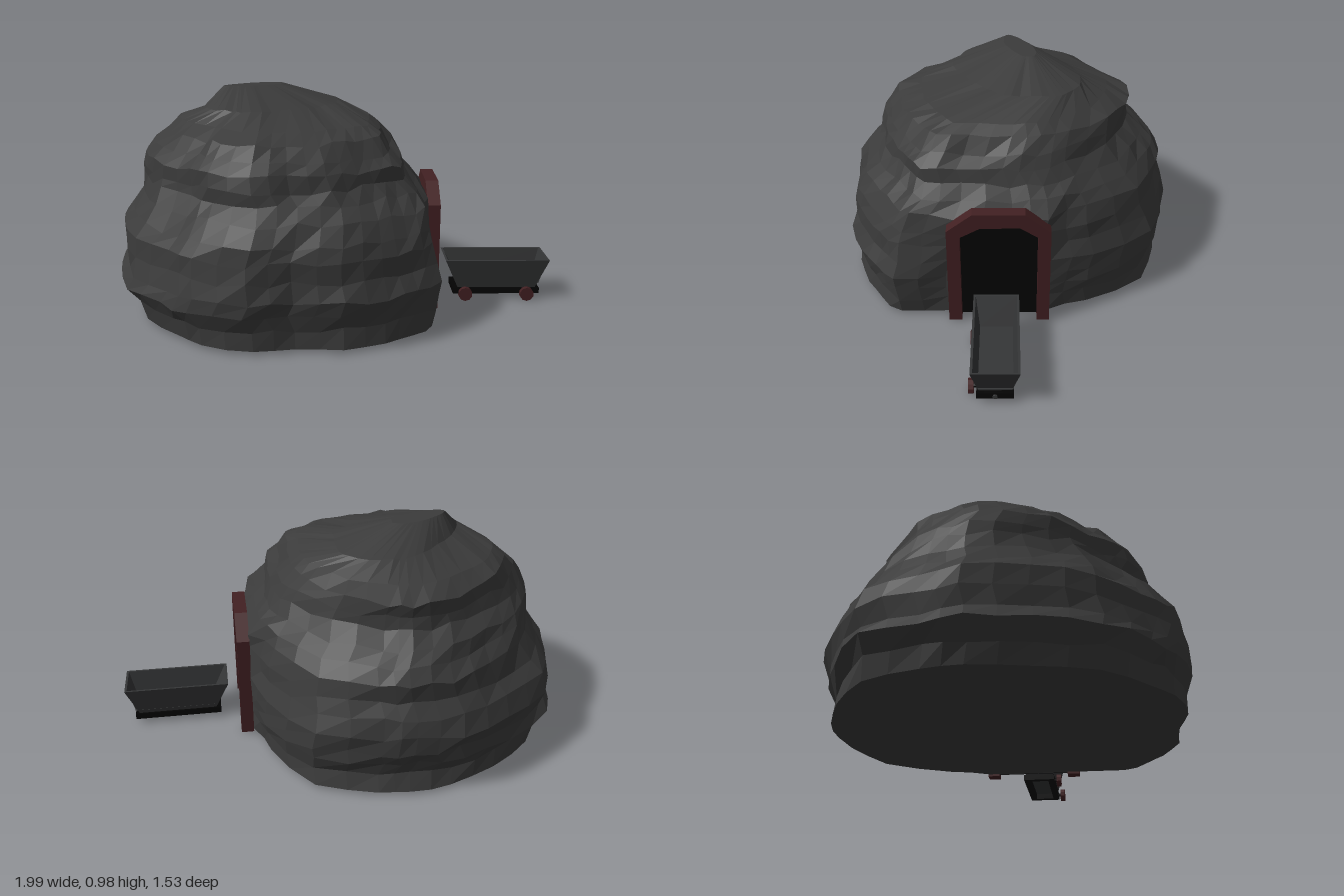
import * as THREE from 'three';

const material = (name, color, flatShading = true) => {
  const m = new THREE.MeshStandardMaterial({ color, flatShading });
  m.name = name;
  return m;
};

// Skin a stack of closed rings, capping the first (facing down) and last (facing up)
function loft(rings) {
  const pos = [];
  const tri = (...pts) => pts.forEach((p) => pos.push(p.x, p.y, p.z));
  const n = rings[0].length;
  const middle = (ring) => ring.reduce((s, p) => s.add(p), new THREE.Vector3()).divideScalar(n);
  const bottom = middle(rings[0]), top = middle(rings.at(-1));
  for (let j = 0; j < n; j++) {
    const k = (j + 1) % n;
    for (let i = 0; i < rings.length - 1; i++) {
      const a = rings[i], b = rings[i + 1];
      tri(a[j], a[k], b[k]);
      tri(a[j], b[k], b[j]);
    }
    tri(bottom, rings[0][k], rings[0][j]);
    tri(top, rings.at(-1)[j], rings.at(-1)[k]);
  }
  const g = new THREE.BufferGeometry();
  g.setAttribute('position', new THREE.Float32BufferAttribute(pos, 3));
  g.computeVertexNormals();
  return g;
}

const rect = (y, x0, x1, z0, z1) =>
  [[x0, z0], [x0, z1], [x1, z1], [x1, z0]].map(([x, z]) => new THREE.Vector3(x, y, z));

// Rock mound: one plan outline fitted to the extents of each layer
function moundGeometry() {
  const plan = [
    [-1, -0.08], [-0.96, 0.17], [-0.88, 0.42], [-0.7, 0.6], [-0.58, 0.7], [-0.35, 0.77],
    [-0.17, 0.74], [0.04, 0.75], [0.22, 0.68], [0.35, 0.6], [0.45, 0.5], [0.43, 0.27],
    [0.42, 0], [0.42, -0.18], [0.38, -0.38], [0.2, -0.67], [-0.08, -0.76], [-0.22, -0.78],
    [-0.42, -0.76], [-0.65, -0.66], [-0.88, -0.5], [-0.97, -0.25],
  ].map(([x, z]) => new THREE.Vector3((x + 0.275) / 0.725, 0, z / 0.775));
  const outline = new THREE.CatmullRomCurve3(plan, true).getPoints(44).slice(0, 44);
  // y, x min, x max, z min, z max
  const layers = [
    [0.02, -0.91, 0.42, -0.73, 0.74], [0.1, -0.93, 0.435, -0.71, 0.745],
    [0.165, -1, 0.44, -0.73, 0.76], [0.22, -0.96, 0.45, -0.75, 0.77],
    [0.3, -0.965, 0.44, -0.77, 0.755], [0.38, -0.965, 0.435, -0.75, 0.755],
    [0.44, -0.92, 0.43, -0.72, 0.74], [0.52, -0.88, 0.42, -0.72, 0.7],
    [0.58, -0.87, 0.41, -0.67, 0.64], [0.63, -0.87, 0.36, -0.63, 0.62],
    [0.69, -0.86, 0.33, -0.56, 0.61], [0.74, -0.81, 0.29, -0.55, 0.57],
    [0.8, -0.75, 0.24, -0.56, 0.53], [0.84, -0.7, 0.19, -0.46, 0.42],
    [0.9, -0.57, 0.04, -0.31, 0.25], [0.98, -0.49, -0.22, -0.11, 0.01],
  ];
  let seed = 7;
  const rand = () => (seed = (seed * 16807) % 2147483647) / 2147483647 - 0.5;
  return loft(layers.map(([y, x0, x1, z0, z1], i) => {
    const cx = (x0 + x1) / 2, cz = (z0 + z1) / 2;
    const rough = i < 13 ? 1 : 0.3; // the summit is smoother
    const skew = i < 14 ? 0 : -0.4; // its ridge runs slightly askew
    const trim = 0.1 * THREE.MathUtils.clamp((y - 0.25) / 0.35, 0, 1); // upper layers are less square
    let ledge = 0;
    return outline.map((p, j) => {
      if (j % 4 === 0) ledge = rand() * 0.026; // ledges run sideways through the strata
      const diagonal = Math.sin(2 * Math.atan2(p.z, p.x)) ** 2;
      const s = 1 - trim * diagonal + (ledge + rand() * 0.012) * rough;
      const dx = p.x * s * (x1 - x0) / 2;
      const v = new THREE.Vector3(
        cx + dx,
        y + (i > 0 && i < 15 ? rand() * 0.024 * rough : 0),
        cz + p.z * s * (z1 - z0) / 2 + dx * skew);
      // flatten the rock behind the doorway
      if (v.x > 0.2 && v.z > -0.24 && v.z < 0.3 && i < 8) v.x = 0.422;
      v.x = Math.max(v.x, -1);
      return v;
    });
  }));
}

// Outlines are [z, y]; extruded towards +x
const doorShape = (pts) => new THREE.Shape(pts.map(([z, y]) => new THREE.Vector2(-z, y)));
function extrudeX(shape, x, depth) {
  const g = new THREE.ExtrudeGeometry(shape, { depth, bevelEnabled: false });
  return g.rotateY(Math.PI / 2).translate(x, 0, 0);
}

export function createModel() {
  const rock = material('rock', 0x3b3b3b);
  const wood = material('red wood', 0x422022);
  const dark = material('dark', 0x030303);
  const iron = material('iron', 0x353637);

  const root = new THREE.Group();
  root.name = 'mine';
  const add = (parent, name, geometry, mat) => {
    const m = new THREE.Mesh(geometry, mat);
    m.name = name;
    parent.add(m);
  };

  add(root, 'rockMound', moundGeometry(), rock);

  // Entrance: timber arch and dark opening
  const entrance = new THREE.Group();
  entrance.name = 'entrance';
  root.add(entrance);
  const inner = [[0.208, 0.46], [0.12, 0.508], [-0.05, 0.508], [-0.125, 0.46]];
  const arch = doorShape([
    [0.265, 0.01], [0.265, 0.49], [0.155, 0.575], [-0.07, 0.575], [-0.18, 0.485], [-0.18, 0.01],
    [-0.125, 0.01], ...[...inner].reverse(), [0.208, 0.01],
  ]);
  add(entrance, 'doorFrame', extrudeX(arch, 0.418, 0.057), wood);
  add(entrance, 'darkOpening', extrudeX(doorShape([[0.208, 0.02], ...inner, [-0.125, 0.02]]), 0.428, 0.008), dark);

  // Ore cart
  const cart = new THREE.Group();
  cart.name = 'cart';
  root.add(cart);
  add(cart, 'hopper', loft([
    rect(0.055, 0.585, 0.945, -0.012, 0.122),
    rect(0.195, 0.523, 1, -0.045, 0.152),
    rect(0.195, 0.533, 0.99, -0.035, 0.142),
    rect(0.075, 0.592, 0.96, -0.018, 0.124),
  ]), iron);
  for (const z of [-0.005, 0.115]) {
    add(cart, 'chassisRail', new THREE.BoxGeometry(0.4, 0.027, 0.03).translate(0.763, 0.041, z), dark);
  }
  for (const x of [0.578, 0.948]) {
    add(cart, 'chassisEnd', new THREE.BoxGeometry(0.03, 0.027, 0.12).translate(x, 0.041, 0.055), dark);
  }
  add(cart, 'coupling', new THREE.CylinderGeometry(0.01, 0.01, 0.008, 8).rotateZ(Math.PI / 2).translate(0.966, 0.041, 0.055), iron);
  // Wheels and their short axles
  for (const x of [0.617, 0.9]) {
    add(cart, 'wheel', new THREE.CylinderGeometry(0.032, 0.032, 0.022, 10).rotateX(Math.PI / 2).translate(x, 0.035, 0.153), wood);
    add(cart, 'axle', new THREE.CylinderGeometry(0.009, 0.009, 0.03, 6).rotateX(Math.PI / 2).translate(x, 0.037, 0.135), dark);
  }
  return root;
}
